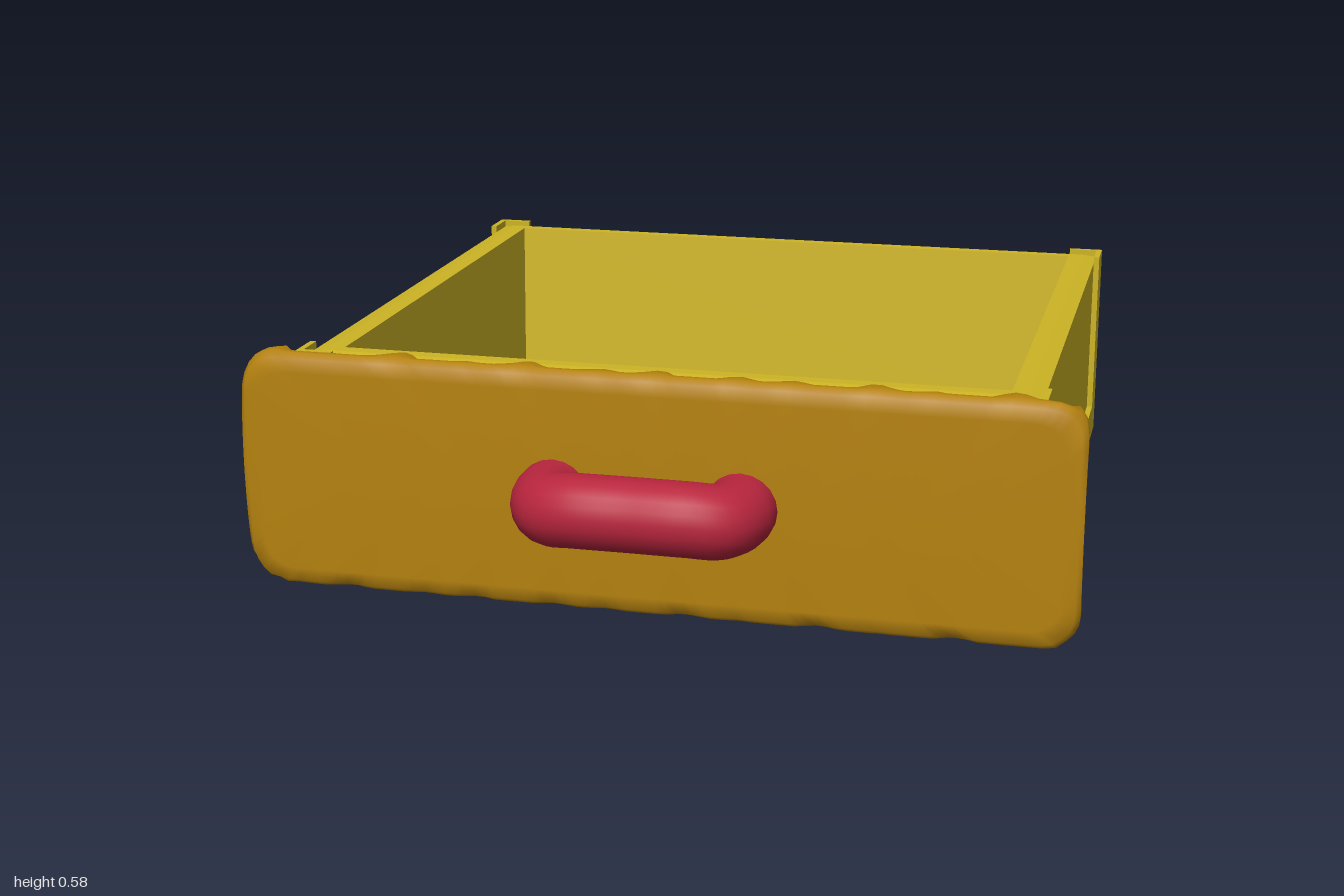
import * as THREE from 'three';

const yellow = new THREE.MeshStandardMaterial({ color: 0xcdb424, flatShading: true, side: THREE.DoubleSide });
yellow.name = 'yellow box';
const amber = new THREE.MeshStandardMaterial({ color: 0xb5820f, side: THREE.DoubleSide });
amber.name = 'amber front';
const red = new THREE.MeshStandardMaterial({ color: 0xb8253d });
red.name = 'red handle';

function add(parent, name, geometry, material) {
  const mesh = new THREE.Mesh(geometry, material);
  mesh.name = name;
  parent.add(mesh);
  return mesh;
}

// Box given by its bounds
function block(parent, name, x0, x1, y0, y1, z0, z1) {
  const mesh = add(parent, name, new THREE.BoxGeometry(x1 - x0, y1 - y0, z1 - z0), yellow);
  mesh.position.set((x0 + x1) / 2, (y0 + y1) / 2, (z0 + z1) / 2);
}

// Surface through rings of equal point count; the first ring may be a single repeated point
function loft(rings) {
  const n = rings[0].length, index = [];
  for (let k = 0; k < rings.length - 1; k++) {
    for (let i = 0; i < n; i++) {
      const j = (i + 1) % n;
      const a = k * n + i, b = (k + 1) * n + i, c = (k + 1) * n + j, d = k * n + j;
      index.push(a, b, c, a, c, d);
    }
  }
  const geometry = new THREE.BufferGeometry();
  geometry.setAttribute('position', new THREE.Float32BufferAttribute(rings.flat(2), 3));
  geometry.setIndex(index);
  geometry.computeVertexNormals();
  return geometry;
}

// Open tray: underside, outer walls, bevelled rim, sloping inner walls and floor
function buildTray() {
  const rect = (x, z0, z1, y) => [[-x, y, z0], [x, y, z0], [x, y, z1], [-x, y, z1]];
  return loft([
    rect(0, -0.165, -0.165, 0.036),
    rect(0.885, -0.925, 0.595, 0.036),
    rect(0.885, -0.925, 0.595, 0.54),
    rect(0.85, -0.91, 0.555, 0.548),
    rect(0.81, -0.88, 0.52, 0.548),
    rect(0.8, -0.83, 0.47, 0.07),
    rect(0, -0.165, -0.165, 0.07),
  ]);
}

// Hollow rounded front with a ragged rear edge and cut-away ends
function buildFront() {
  const w = 1, h = 0.29, r = 0.09, s = new THREE.Shape();
  s.moveTo(-w + r, -h);
  s.lineTo(w - r, -h);
  s.quadraticCurveTo(w, -h, w, -h + r);
  s.lineTo(w, h - r);
  s.quadraticCurveTo(w, h, w - r, h);
  s.lineTo(-w + r, h);
  s.quadraticCurveTo(-w, h, -w, h - r);
  s.lineTo(-w, -h + r);
  s.quadraticCurveTo(-w, -h, -w + r, -h);
  const outline = s.getSpacedPoints(200).slice(0, 200);
  const depth = (p, i) => {
    if (Math.abs(p.x) > 0.96) {
      const t = Math.min(1, Math.abs(p.y) / 0.24);
      return 0.115 - 0.1 * Math.sqrt(1 - t * t);
    }
    return 0.06 + 0.054 * Math.max(0, Math.sin(i * 0.75) * Math.cos(i * 0.23 + 1));
  };
  const ring = (inset, f) => outline.map((p, i) => [
    p.x * (1 - inset / w), h + p.y * (1 - inset / h), 0.724 - f * depth(p, i),
  ]);
  return loft([ring(0.29, 0), ring(0.045, 0), ring(0.012, 0.1), ring(0, 0.35), ring(0, 0.6), ring(0.008, 1)]);
}

export function createModel() {
  const model = new THREE.Group();
  model.name = 'drawer';

  const box = new THREE.Group();
  box.name = 'drawerBox';
  model.add(box);
  add(box, 'tray', buildTray(), yellow);

  // Bottom rails around the recessed side panels and underside
  for (const [z0, z1] of [[-0.94, -0.85], [0.52, 0.61]]) block(box, 'crossRail', -0.9, 0.9, 0.03, 0.12, z0, z1);
  for (const [x0, x1] of [[-0.9, -0.81], [0.81, 0.9]]) block(box, 'sideRail', x0, x1, 0.03, 0.12, -0.85, 0.52);

  // L-shaped corner posts
  for (const sx of [-1, 1]) {
    const span = (a, b) => (sx > 0 ? [a, b] : [-b, -a]);
    for (const [z0, z1, e0, e1] of [[-0.94, -0.84, -0.94, -0.925], [0.52, 0.61, 0.595, 0.61]]) {
      block(box, 'cornerPostSide', ...span(0.885, 0.9), 0.12, 0.558, z0, z1);
      block(box, 'cornerPostEnd', ...span(0.81, 0.885), 0.12, 0.558, e0, e1);
    }
  }

  add(model, 'frontPanel', buildFront(), amber);

  // Bent handle, slightly lower at its ends
  const path = new THREE.CatmullRomCurve3([
    [-0.222, 0.284, 0.7], [-0.222, 0.284, 0.77], [-0.195, 0.286, 0.825], [-0.13, 0.295, 0.851],
    [0, 0.296, 0.853],
    [0.13, 0.295, 0.851], [0.195, 0.286, 0.825], [0.222, 0.284, 0.77], [0.222, 0.284, 0.7],
  ].map((p) => new THREE.Vector3(...p)));
  add(model, 'handle', new THREE.TubeGeometry(path, 48, 0.086, 20), red);

  return model;
}
